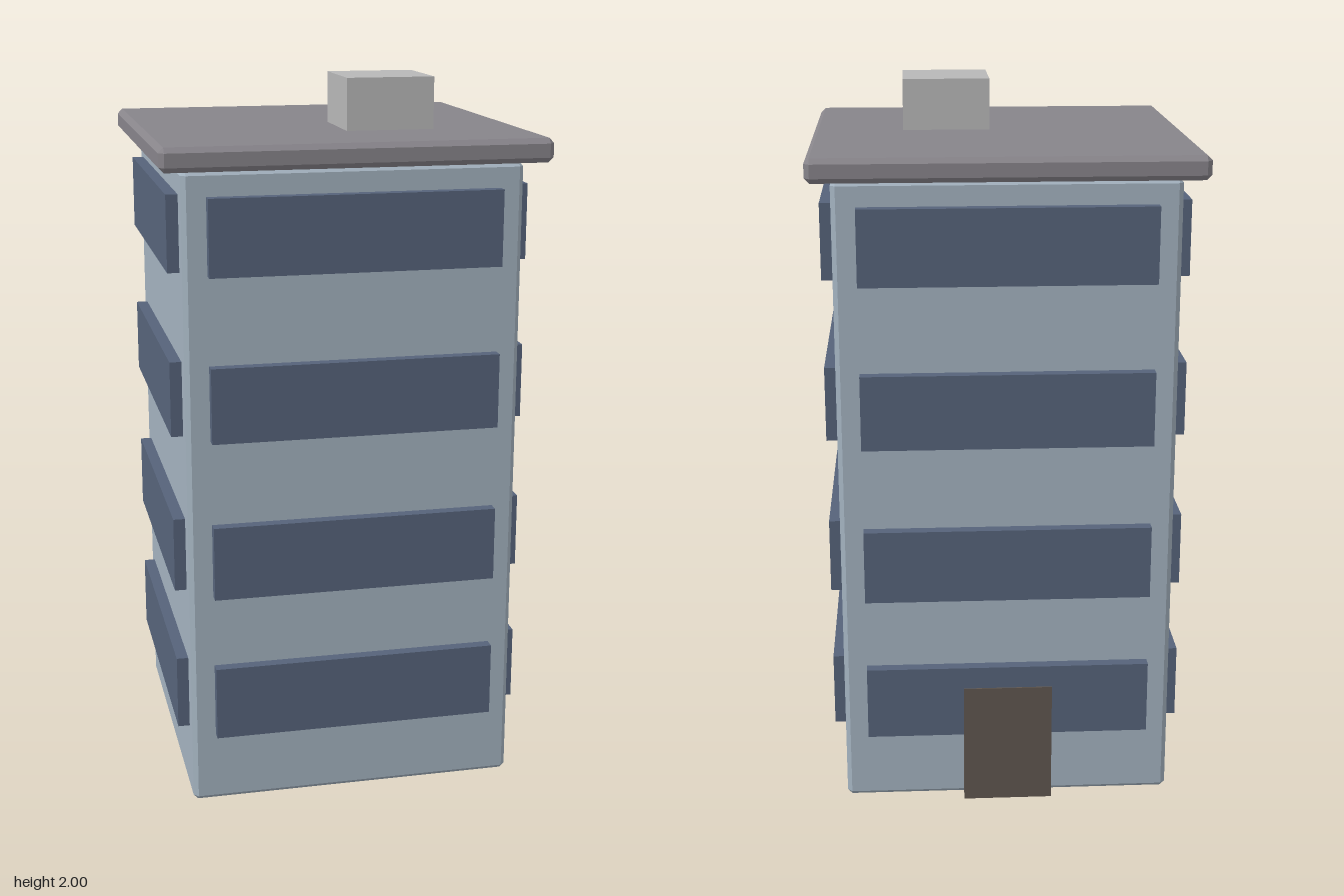
import * as THREE from 'three';
import { ConvexGeometry } from 'three/addons/geometries/ConvexGeometry.js';

const material = (color) => new THREE.MeshStandardMaterial({ color, flatShading: true });

// Box with flat chamfers on every edge, centred on the origin
function chamferedBox(w, h, d, c) {
  const points = [];
  for (const x of [-w / 2, w / 2])
    for (const y of [-h / 2, h / 2])
      for (const z of [-d / 2, d / 2]) {
        const [sx, sy, sz] = [x, y, z].map((v) => Math.sign(v) * c);
        points.push(
          new THREE.Vector3(x, y - sy, z - sz),
          new THREE.Vector3(x - sx, y, z - sz),
          new THREE.Vector3(x - sx, y - sy, z));
      }
  return new ConvexGeometry(points);
}

export function createModel() {
  const model = new THREE.Group();
  model.name = 'apartmentBlock';

  const add = (parent, name, geometry, mat, x, y, z) => {
    const mesh = new THREE.Mesh(geometry, mat);
    mesh.name = name;
    mesh.position.set(x, y, z);
    parent.add(mesh);
    return mesh;
  };

  // Main tower and overhanging roof slab
  add(model, 'tower', chamferedBox(0.925, 1.79, 0.925, 0.013), material(0xa3b2bf), 0, 0.895, 0);
  add(model, 'roofSlab', chamferedBox(1.05, 0.065, 1.05, 0.014), material(0x87848a), 0, 1.825, 0);

  // Rooftop service box
  add(model, 'rooftopUnit', new THREE.BoxGeometry(0.245, 0.15, 0.245), material(0xb8b8b8), 0.148, 1.925, 0.12);

  // Window bands: one per floor on each of the four sides
  const glass = material(0x56637a);
  const band = new THREE.BoxGeometry(0.795, 0.208, 0.06);
  ['front', 'left', 'back', 'right'].forEach((side, i) => {
    const wall = new THREE.Group();
    wall.name = side + 'Windows';
    wall.rotation.y = i * Math.PI / 2;
    [0.309, 0.723, 1.168, 1.618].forEach((y, floor) =>
      add(wall, `${side}WindowBand${floor + 1}`, band, glass, 0, y, 0.465));
    model.add(wall);
  });

  // Entrance door on the back wall, just proud of the windows
  add(model, 'door', new THREE.BoxGeometry(0.25, 0.35, 0.06), material(0x5f564f), 0, 0.175, -0.469);

  return model;
}
